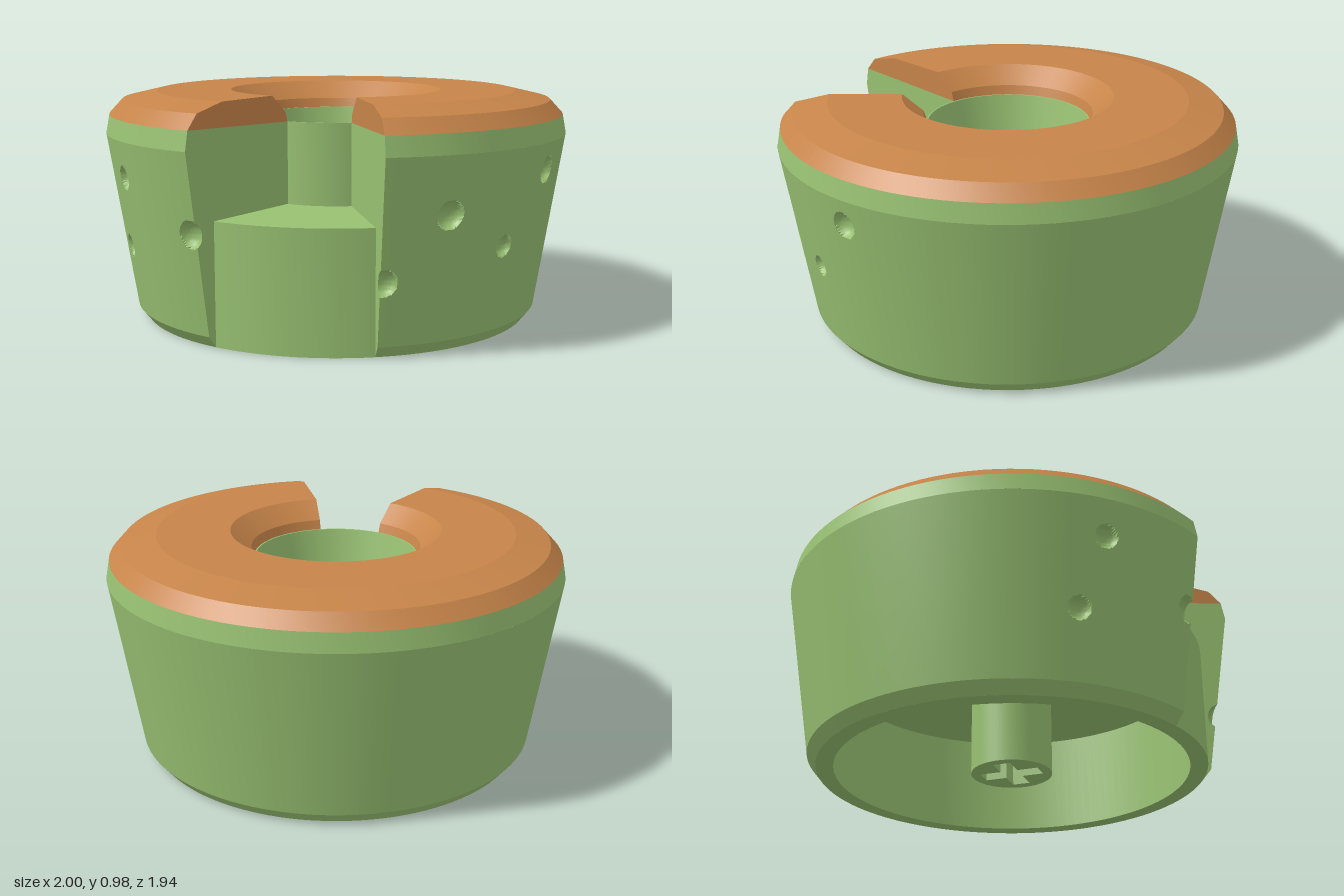
import * as THREE from 'three';
import { toCreasedNormals } from 'three/addons/utils/BufferGeometryUtils.js';

const DEG = Math.PI / 180;
const CUT_L = -20.6 * DEG, CUT_R = 24.5 * DEG;   // missing slice, angles from +z toward +x
const RING = Math.PI * 2 - (CUT_R - CUT_L);
const WALL_LOW = 0.05, WALL_HIGH = 0.8, FLOOR = 0.51, CORE = 0.357;

// round pits in the side wall: angle, height, radius
const PITS = [
  [-48.5, 0.645, 0.047], [-54.6, 0.34, 0.046], [-22.3, 0.47, 0.055], [25.4, 0.31, 0.052],
  [40.9, 0.565, 0.056], [59.2, 0.405, 0.043], [74.6, 0.685, 0.055],
];

// radius of the flared side wall, with the pits pressed in
function wallRadius(angle, y) {
  const r = 0.88 + 0.16 * (y - WALL_LOW);
  let dent = 0;
  for (const [deg, py, pr] of PITS) {
    let a = angle - deg * DEG;
    a = Math.atan2(Math.sin(a), Math.cos(a));
    const d2 = (r * a) ** 2 + (y - py) ** 2;
    if (d2 < pr * pr) dent = Math.max(dent, 0.75 * Math.sqrt(pr * pr - d2));
  }
  return r - dent;
}

export function createModel() {
  const green = new THREE.MeshStandardMaterial({ color: 0x98c172, side: THREE.DoubleSide });
  green.name = 'green cake';
  const brown = new THREE.MeshStandardMaterial({ color: 0xc68449, side: THREE.DoubleSide });
  brown.name = 'brown glaze';

  const model = new THREE.Group();
  model.name = 'slicedRingCake';
  const body = new THREE.Group();
  body.name = 'cake';
  body.position.z = 0.03;
  model.add(body);

  const add = (name, geometry, material) => {
    const mesh = new THREE.Mesh(geometry, material);
    mesh.name = name;
    body.add(mesh);
    return mesh;
  };
  const points = (list) => list.map(([x, y]) => new THREE.Vector2(x, y));
  const lathe = (name, profile, material, start = 0, length = Math.PI * 2) =>
    add(name, toCreasedNormals(new THREE.LatheGeometry(points(profile), Math.ceil(length * 18), start, length), 0.2), material);

  // side wall grid: fine columns where the pits are, coarse around the back
  const angles = [];
  for (let a = CUT_R; a < CUT_L + Math.PI * 2;) {
    angles.push(a);
    a += a < 80 * DEG || a > 300 * DEG ? 0.006 : 0.05;
  }
  angles.push(CUT_L + Math.PI * 2);
  const rows = 110;
  const rowY = (j) => WALL_LOW + (WALL_HIGH - WALL_LOW) * j / rows;
  const positions = [], index = [];
  angles.forEach((a, i) => {
    for (let j = 0; j <= rows; j++) {
      const r = wallRadius(a, rowY(j));
      positions.push(r * Math.sin(a), rowY(j), r * Math.cos(a));
      if (i === angles.length - 1 || j === rows) continue;
      const p = i * (rows + 1) + j, q = p + rows + 1;
      index.push(p, q, q + 1, p, q + 1, p + 1);
    }
  });
  const wall = new THREE.BufferGeometry();
  wall.setAttribute('position', new THREE.Float32BufferAttribute(positions, 3));
  wall.setIndex(index);
  add('pittedSideWall', toCreasedNormals(wall, 0.5), green);

  // chamfers above and below the wall
  lathe('bottomChamfer', [[0.84, 0], [0.88, WALL_LOW]], green, CUT_R, RING);
  lathe('shoulder', [[1, WALL_HIGH], [0.985, 0.88]], green, CUT_R, RING);

  // glaze on top
  const glaze = [[0.985, 0.88], [0.93, 0.94], [0.78, 0.975], [0.46, 0.975], [0.37, 0.9], [CORE, 0.86]];
  lathe('glaze', glaze, brown, CUT_R, RING);

  // low step left in the slice
  lathe('sliceStep', [[0.84, 0], [0.84, FLOOR], [CORE, FLOOR]], green, CUT_L, CUT_R - CUT_L);

  // cup in the centre hole
  lathe('centreCup', [[CORE, FLOOR], [CORE, 0.86], [0.35, 0.86], [0.31, 0.67], [0.26, 0.63], [0, 0.63]], green);

  // cut faces of the slice
  for (const [side, angle] of [['right', CUT_L], ['left', CUT_R]]) {
    const outline = [[CORE, FLOOR], [0.84, FLOOR], [0.84, 0]];
    for (let j = 0; j <= rows; j++) outline.push([wallRadius(angle, rowY(j)), rowY(j)]);
    outline.push([0.985, 0.88], [CORE, 0.86]);
    const turn = angle - Math.PI / 2;
    add(side + 'CutFace', new THREE.ShapeGeometry(new THREE.Shape(points(outline))), green).rotation.y = turn;
    add(side + 'CutGlaze', new THREE.ShapeGeometry(new THREE.Shape(points(glaze))), brown).rotation.y = turn;
  }

  // hollow underside: ceiling, inner wall and rim
  lathe('hollowUnderside', [[0, 0.45], [0.78, 0.45], [0.765, 0], [0.84, 0]], green);

  // stem with a cross-shaped socket
  const stem = new THREE.Shape();
  stem.absarc(0, 0, 0.175, 0, Math.PI * 2);
  const L = 0.13, W = 0.038;
  stem.holes.push(new THREE.Path(points([
    [L, -W], [L, W], [W, W], [W, L], [-W, L], [-W, W],
    [-L, W], [-L, -W], [-W, -W], [-W, -L], [W, -L], [W, -W],
  ])));
  const stemGeometry = new THREE.ExtrudeGeometry(stem, { depth: 0.45, bevelEnabled: false, curveSegments: 40 });
  stemGeometry.rotateX(-Math.PI / 2);
  add('stem', toCreasedNormals(stemGeometry, 0.5), green);

  return model;
}
